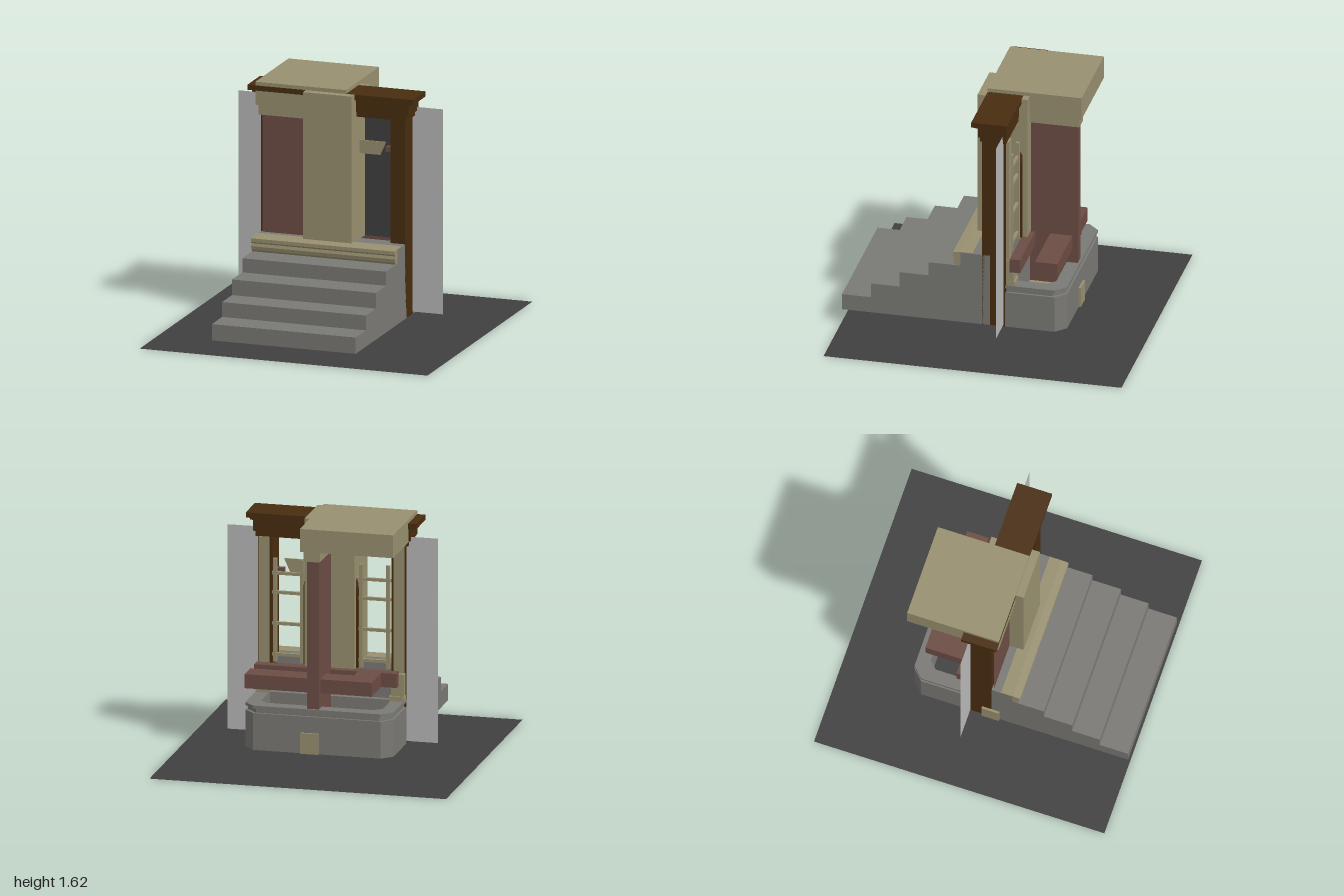
import * as THREE from 'three';

const mat = (name, color, side = THREE.FrontSide) => {
  const m = new THREE.MeshStandardMaterial({ color, side });
  m.name = name;
  return m;
};

export function createModel() {
  const root = new THREE.Group();
  root.name = 'entrancePorch';
  const beige = mat('sandstone', 0x989070);
  const grey = mat('greyStone', 0x7a7975);
  const red = mat('redBrownWall', 0x6c4d44);
  const brown = mat('darkWood', 0x482d10);
  const dark = mat('charcoal', 0x404040);
  const ground = mat('charcoalGround', 0x404040, THREE.DoubleSide);
  const pale = mat('paleGrey', 0xb8b8b8, THREE.DoubleSide);

  const add = (name, geo, m) => {
    const mesh = new THREE.Mesh(geo, m);
    mesh.name = name;
    root.add(mesh);
    return mesh;
  };
  // box given by its limits on each axis
  const box = (name, m, x0, x1, y0, y1, z0, z1) =>
    add(name, new THREE.BoxGeometry(x1 - x0, y1 - y0, z1 - z0)
      .translate((x0 + x1) / 2, (y0 + y1) / 2, (z0 + z1) / 2), m);
  // same box on both sides of x = 0
  const pair = (name, m, x0, x1, ...rest) => {
    box(name + 'Left', m, x0, x1, ...rest);
    box(name + 'Right', m, -x1, -x0, ...rest);
  };
  const plane = (name, m, x0, x1, y0, y1, z) =>
    add(name, new THREE.PlaneGeometry(x1 - x0, y1 - y0)
      .translate((x0 + x1) / 2, (y0 + y1) / 2, z), m);
  const shapeOf = pts => new THREE.Shape(pts.map(p => new THREE.Vector2(...p)));
  // (z, y) profile swept across x
  const sweepX = (name, m, pts, width) =>
    add(name, new THREE.ExtrudeGeometry(shapeOf(pts), { depth: width, bevelEnabled: false })
      .rotateY(-Math.PI / 2).translate(width / 2, 0, 0), m);

  // ground sheet
  add('ground', new THREE.PlaneGeometry(2, 2).rotateX(-Math.PI / 2), ground);

  // front stairs
  sweepX('stairs', grey, [[0, 0.1], [0.995, 0.1], [0.995, 0.21], [0.8, 0.21], [0.8, 0.31],
    [0.61, 0.31], [0.61, 0.415], [0.415, 0.415], [0.415, 0.51], [0.2, 0.51], [0.2, 0.605], [0, 0.605]], 1);
  // rounded threshold
  sweepX('threshold', beige, [[0.12, 0.5], [0.225, 0.51], [0.242, 0.525], [0.248, 0.55],
    [0.242, 0.57], [0.25, 0.58], [0.25, 0.604], [0.2, 0.609], [0.12, 0.609]], 0.998);

  // door frame with stepped cornice
  pair('framePost', brown, 0.4, 0.5, 0.1, 1.44, -0.105, 0.055);
  [[0.515, 1.44, 1.475, 0.065, -0.11], [0.53, 1.475, 1.55, 0.075, -0.115],
    [0.55, 1.55, 1.565, 0.09, -0.12], [0.575, 1.565, 1.6, 0.11, -0.13]].forEach(([w, y0, y1, z1, z0], i) =>
    box('frameCornice' + i, brown, -w, w, y0, y1, z0, z1));
  // pilasters and their bases on the back of the frame
  pair('pilaster', beige, 0.42, 0.49, 0.42, 1.44, -0.122, -0.105);
  pair('pilasterBase', beige, 0.41, 0.497, 0.42, 0.58, -0.155, -0.105);
  pair('pilasterFoot', beige, 0.4, 0.499, 0.4, 0.43, -0.165, -0.105);

  // side screens
  plane('screenLeft', pale, 0.5, 0.71, 0.115, 1.5, -0.09);
  plane('screenRight', pale, -0.71, -0.5, 0.115, 1.5, -0.09);

  // dark glazing, facing forward only
  for (const s of [0, 1]) plane('glazing' + s, dark, s ? -0.4 : 0.165, s ? -0.165 : 0.4, 0.6, 1.44, -0.095);

  // window lattice
  for (const x of [0.2, 0.38])
    pair('latticeUpright', beige, x - 0.012, x + 0.012, 0.6, 1.3, -0.125, -0.1);
  for (const y of [0.65, 0.86, 1.07, 1.2])
    pair('latticeRail', beige, 0.17, 0.4, y - 0.01, y + 0.01, -0.122, -0.103);

  // arched door surround
  add('doorArch', new THREE.TorusGeometry(0.165, 0.02, 6, 16, Math.PI).translate(0, 1.14, -0.12), brown);
  pair('doorJamb', brown, 0.147, 0.183, 0.6, 1.14, -0.138, -0.102);

  // tilted plate and bracket in the opening
  add('tiltedPlate', new THREE.ExtrudeGeometry(
    shapeOf([[0.165, 1.18], [0.31, 1.18], [0.35, 1.27], [0.165, 1.27]]),
    { depth: 0.008, bevelEnabled: false }), beige);
  box('bracket', red, 0.33, 0.4, 1.19, 1.225, -0.08, -0.04);

  // corner pier with two wall arms
  box('cornerPier', beige, -0.17, 0.167, 0.6, 1.6, -0.17, 0.165);
  plane('frontWall', red, -0.485, -0.17, 0.4, 1.4, 0.067);
  box('backWall', red, -0.01, 0.07, 0.24, 1.4, -0.485, -0.165);
  box('frontWallPlinth', beige, -0.515, -0.165, 0.1, 0.24, -0.01, 0.11);
  box('backWallPlinth', beige, -0.01, 0.11, 0.1, 0.24, -0.515, -0.165);

  // flat roof over the corner with its lower band
  box('roof', beige, -0.52, 0.11, 1.47, 1.625, -0.52, 0.11);
  box('frontBand', beige, -0.505, 0.09, 1.4, 1.47, -0.02, 0.09);
  box('backBand', beige, -0.02, 0.09, 1.4, 1.47, -0.5, -0.02);

  // hollow plinth at the back with chamfered corners
  const plinth = (name, y0, y1, inset) => {
    const outline = (d, c) => [[-0.5 + d, 0.1], [0.5 - d, 0.1], [0.5 - d, 0.5 - c - d],
      [0.5 - c - d, 0.5 - d], [-0.5 + c + d, 0.5 - d], [-0.5 + d, 0.5 - c - d]];
    const s = shapeOf(outline(inset, 0.07));
    const hole = outline(0.09, 0.05).map(([x, y]) => new THREE.Vector2(x, Math.max(y, 0.14)));
    s.holes.push(new THREE.Path(hole));
    add(name, new THREE.ExtrudeGeometry(s, { depth: y1 - y0, bevelEnabled: false })
      .rotateX(-Math.PI / 2).translate(0, y0, 0), grey);
  };
  plinth('plinthWall', 0.1, 0.35, 0);
  plinth('plinthNeck', 0.35, 0.38, 0.015);
  plinth('plinthCap', 0.38, 0.4, 0);

  // red beams above the plinth
  box('backBeam', red, -0.355, 0.5, 0.5, 0.595, -0.45, -0.3);
  box('linkBeam', red, -0.355, -0.2, 0.5, 0.595, -0.3, -0.2);
  box('frontBeam', red, -0.46, 0.5, 0.5, 0.595, -0.2, -0.13);

  return root;
}
